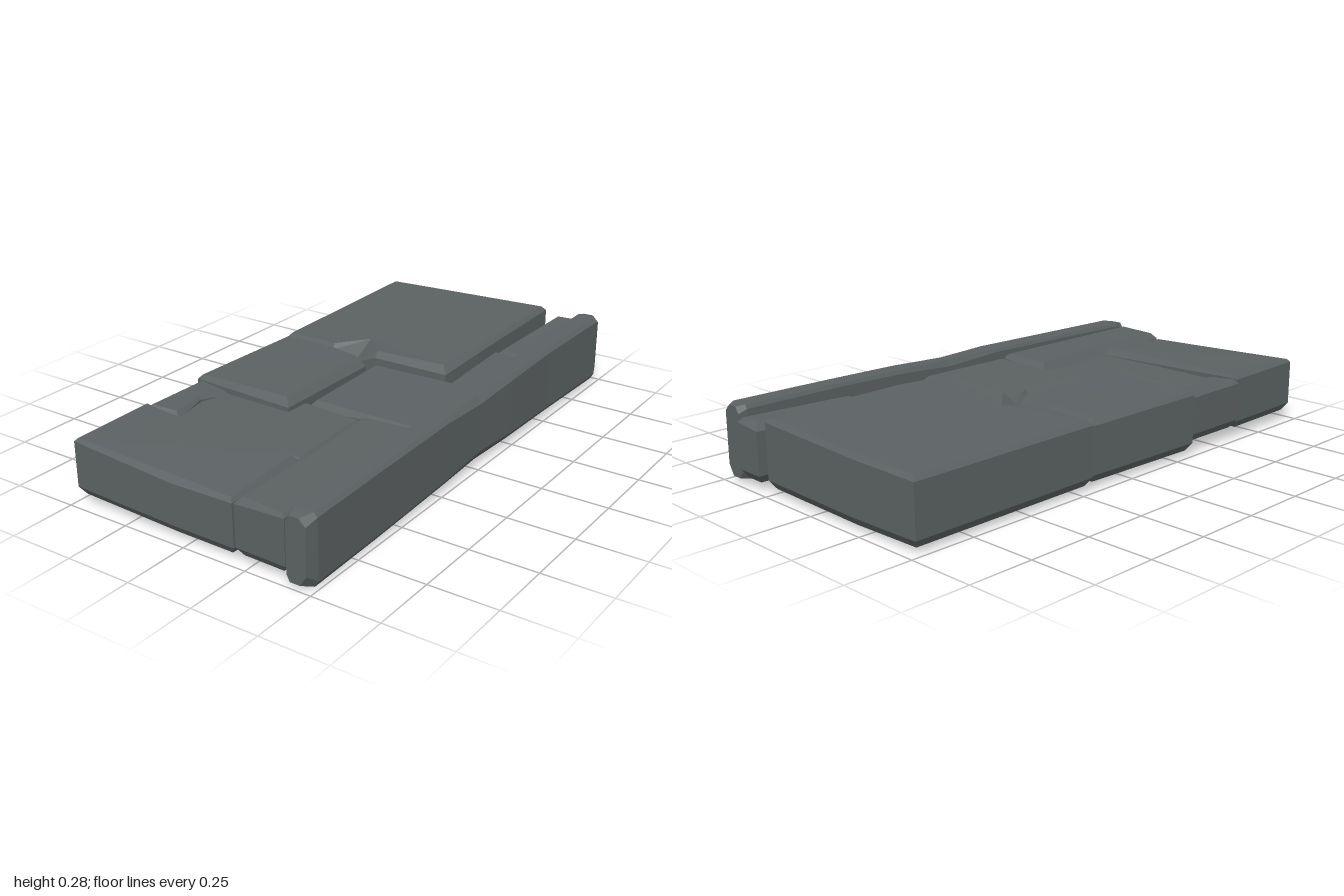
import * as THREE from 'three';

// Ring of points moved inwards along each corner's bisector
function insetRing(pts, amount) {
  const n = pts.length;
  return pts.map((p, i) => {
    const a = pts[(i + n - 1) % n], b = pts[(i + 1) % n];
    const d1 = new THREE.Vector2(p[0] - a[0], p[1] - a[1]).normalize();
    const d2 = new THREE.Vector2(b[0] - p[0], b[1] - p[1]).normalize();
    const n1 = new THREE.Vector2(-d1.y, d1.x), n2 = new THREE.Vector2(-d2.y, d2.x);
    const k = amount(p) / Math.max(0.5, 1 + n1.dot(n2));
    return new THREE.Vector2(p[0] + (n1.x + n2.x) * k, p[1] + (n1.y + n2.y) * k);
  });
}

// Closed solid from stacked rings, with triangulated or fanned end caps
function solid(rings) {
  const n = rings[0].length, pos = [], idx = [];
  rings.forEach(r => r.forEach(p => pos.push(p.x, p.y, p.z)));
  for (let k = 0; k < rings.length - 1; k++) {
    for (let i = 0; i < n; i++) {
      const a = k * n + i, b = k * n + (i + 1) % n;
      idx.push(a, b, b + n, a, b + n, a + n);
    }
  }
  return { pos, idx, n, last: (rings.length - 1) * n };
}

function finish({ pos, idx }) {
  const g = new THREE.BufferGeometry();
  g.setAttribute('position', new THREE.Float32BufferAttribute(pos, 3));
  g.setIndex(idx);
  const flat = g.toNonIndexed();
  flat.computeVertexNormals();
  return flat;
}

// Chamfered paving stone; corners are [x, z, top height, chamfer], counter-clockwise from above
function stoneGeometry(corners, bottom, chamfer = 0.015) {
  const pts = corners.map(([x, z, top, c = chamfer]) => [x, -z, top, c]);
  const outer = insetRing(pts, () => 0);
  const topIn = insetRing(pts, p => p[3]);
  const lowIn = insetRing(pts, () => 0.02);
  const ring = (flat, y) => flat.map((p, i) => new THREE.Vector3(p.x, y(i), -p.y));
  const s = solid([
    ring(lowIn, i => bottom(pts[i][0], -pts[i][1])),
    ring(outer, i => bottom(pts[i][0], -pts[i][1]) + 0.03),
    ring(outer, i => pts[i][2] - Math.min(0.06, pts[i][3] * 1.1)),
    ring(topIn, i => pts[i][2]),
  ]);
  THREE.ShapeUtils.triangulateShape(topIn, []).forEach(([a, b, c]) => s.idx.push(s.last + a, s.last + b, s.last + c));
  THREE.ShapeUtils.triangulateShape(lowIn, []).forEach(([a, b, c]) => s.idx.push(a, c, b));
  return finish(s);
}

// Long kerb lofted from eight-sided sections; stations are [z, left x, right x, bottom, top, chamfer]
function kerbGeometry(stations) {
  const s = solid(stations.map(([z, l, r, b, t, c]) => [
    [l + c * 0.5, b], [r - c, b], [r, b + c * 1.6], [r, t - c],
    [r - c, t], [l + c * 0.6, t], [l, t - c], [l, b + c],
  ].map(([x, y]) => new THREE.Vector3(x, y, z))));
  for (let i = 1; i < s.n - 1; i++) {
    s.idx.push(0, i + 1, i, s.last, s.last + i, s.last + i + 1);
  }
  return finish(s);
}

export function createModel() {
  const group = new THREE.Group();
  group.name = 'stonePath';
  const stone = new THREE.MeshStandardMaterial({ color: 0x5b6162, flatShading: true });
  stone.name = 'slate grey';
  const add = (name, geometry) => {
    const mesh = new THREE.Mesh(geometry, stone);
    mesh.name = name;
    group.add(mesh);
  };

  // Large square slab with a chipped front edge
  add('largeBackSlab', stoneGeometry([
    [-0.485, -0.19, 0.253], [-0.26, -0.175, 0.256, 0.02], [-0.16, -0.18, 0.262, 0.12],
    [-0.06, -0.175, 0.268, 0.02], [0.25, -0.18, 0.274, 0.025], [0.263, -0.4, 0.277, 0.012],
    [0.25, -0.985, 0.278], [-0.2, -0.985, 0.262], [-0.49, -0.975, 0.255],
  ], x => 0.022 + Math.max(0, x) * 0.03));

  // Two narrow stones between the large slab and the kerb
  add('backStrip', stoneGeometry([
    [0.265, -0.54, 0.232, 0.02], [0.405, -0.515, 0.235, 0.02], [0.4, -0.995, 0.25], [0.29, -0.995, 0.25, 0.025],
  ], () => 0.035));
  add('middleStrip', stoneGeometry([
    [0.25, -0.17, 0.215, 0.02], [0.405, -0.17, 0.215, 0.02], [0.405, -0.53, 0.225], [0.25, -0.55, 0.225],
  ], () => 0.055));

  // Middle row
  add('middleLeftStone', stoneGeometry([
    [-0.497, 0.34, 0.252], [-0.3, 0.35, 0.258, 0.02], [-0.07, 0.352, 0.258, 0.025],
    [-0.05, -0.1, 0.262, 0.02], [-0.1, -0.16, 0.258, 0.035], [-0.25, -0.185, 0.258, 0.03], [-0.48, -0.185, 0.252, 0.02],
  ], x => 0.02 - x * 0.01));
  add('middleRightStone', stoneGeometry([
    [-0.06, 0.255, 0.225, 0.025], [0.19, 0.25, 0.228], [0.405, 0.25, 0.23],
    [0.405, -0.175, 0.235, 0.02], [-0.065, -0.175, 0.232, 0.03],
  ], () => 0.045));

  // Lower stone tucked beneath its neighbours
  add('lowFrontStone', stoneGeometry([
    [-0.487, 0.635, 0.215], [-0.1, 0.64, 0.215], [0.195, 0.635, 0.215, 0.02],
    [0.18, 0.25, 0.215, 0.02], [-0.1, 0.24, 0.215], [-0.48, 0.3, 0.215],
  ], () => 0.06));
  // Thin ridge raised along the left edge of the low stone
  add('brokenRidge', stoneGeometry([
    [-0.487, 0.625, 0.238], [-0.35, 0.61, 0.232, 0.02], [-0.38, 0.46, 0.235, 0.01],
    [-0.345, 0.34, 0.232, 0.02], [-0.485, 0.33, 0.236],
  ], () => 0.05));

  // Front stone, falling away to the right
  add('frontStone', stoneGeometry([
    [-0.478, 0.978, 0.25, 0.01], [-0.05, 0.982, 0.232, 0.02], [0.188, 0.975, 0.222, 0.012],
    [0.198, 0.63, 0.238, 0.025], [-0.38, 0.63, 0.245, 0.012], [-0.485, 0.62, 0.25, 0.012],
  ], x => 0.027 - x * 0.03));
  add('frontRightStrip', stoneGeometry([
    [0.205, 0.985, 0.24, 0.02], [0.4, 0.99, 0.24, 0.01], [0.405, 0.26, 0.243],
    [0.175, 0.255, 0.24, 0.03], [0.19, 0.6, 0.24, 0.035],
  ], () => 0.035));

  // Worn kerb along the right side
  add('kerb', kerbGeometry([
    [-0.985, 0.408, 0.484, 0.024, 0.28, 0.024],
    [-0.955, 0.4, 0.494, 0.019, 0.284, 0.014],
    [-0.55, 0.402, 0.49, 0.026, 0.281, 0.012],
    [-0.25, 0.4, 0.493, 0.03, 0.276, 0.014],
    [-0.03, 0.404, 0.486, 0.022, 0.27, 0.024],
    [0.2, 0.4, 0.491, 0.027, 0.272, 0.013],
    [0.6, 0.402, 0.492, 0.013, 0.264, 0.012],
    [0.95, 0.4, 0.494, 0.004, 0.258, 0.014],
    [0.995, 0.408, 0.482, 0.022, 0.25, 0.024],
  ]));

  return group;
}
